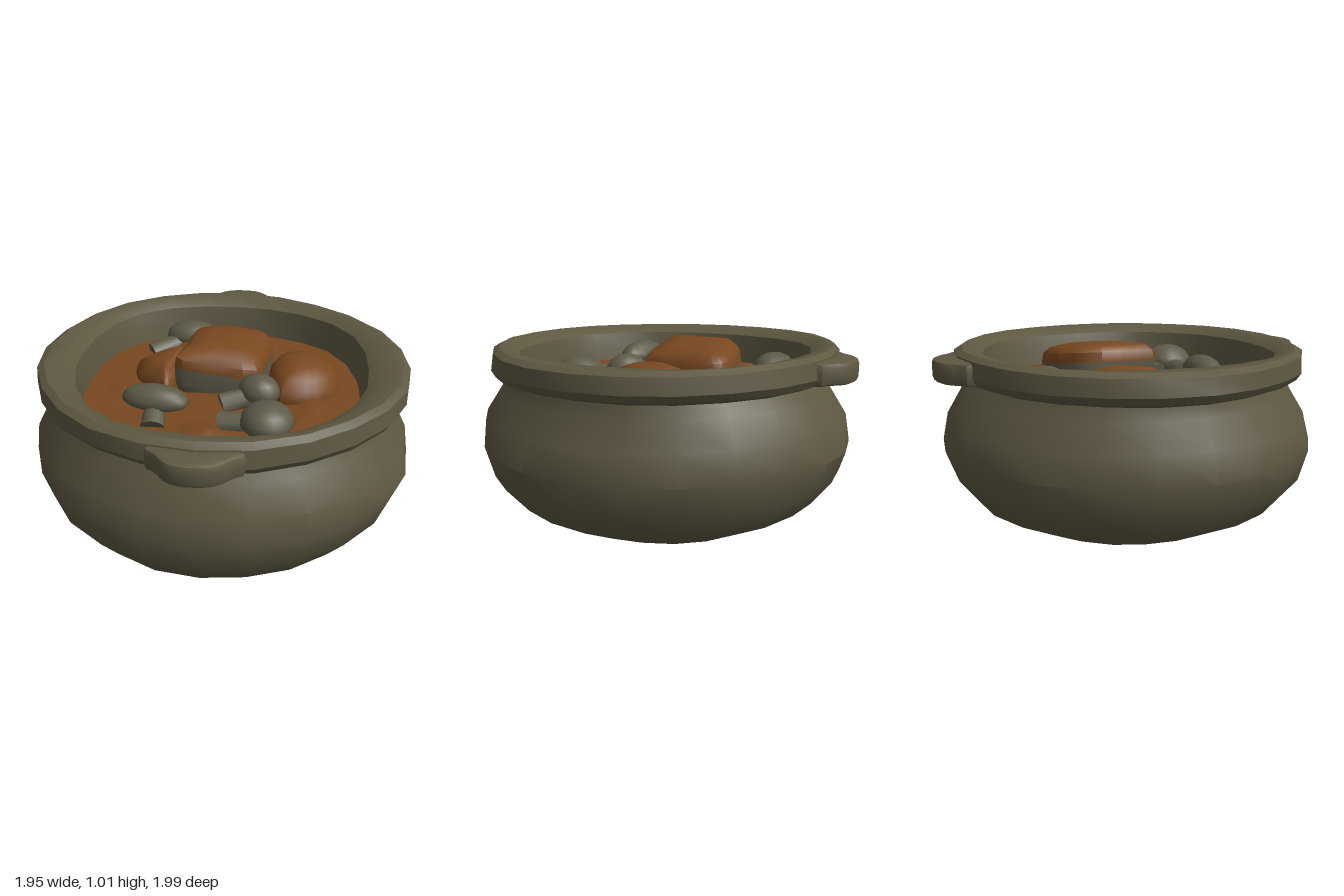
import * as THREE from 'three';
import { toCreasedNormals } from 'three/addons/utils/BufferGeometryUtils.js';

const mat = (name, color) => {
  const m = new THREE.MeshStandardMaterial({ color });
  m.name = name;
  return m;
};

export function createModel() {
  const model = new THREE.Group();
  model.name = 'stewPot';
  const clay = mat('clay', 0x5e5842);
  const stew = mat('stewBrown', 0x784820);
  const mushroom = mat('mushroomGrey', 0x5d5a47);

  const add = (name, geometry, material, parent = model) => {
    const mesh = new THREE.Mesh(geometry, material);
    mesh.name = name;
    parent.add(mesh);
    return mesh;
  };

  // Moves every vertex with a rule.
  const deform = (geometry, rule) => {
    const p = geometry.attributes.position;
    const v = new THREE.Vector3();
    for (let i = 0; i < p.count; i++) {
      rule(v.fromBufferAttribute(p, i));
      p.setXYZ(i, v.x, v.y, v.z);
    }
    return geometry;
  };

  const lathe = (points, segments) =>
    new THREE.LatheGeometry(points.map(([r, y]) => new THREE.Vector2(r, y)), segments);

  // Closed lump: one rounded outline (x, z), stacked as [scale, y] layers.
  // Layers below capStart take the first material, the others the second.
  const lump = (name, outline, layers, materials, capStart, tiltX = 0, tiltZ = 0) => {
    const n = 20;
    const ring = new THREE.CatmullRomCurve3(
      outline.map(([x, z]) => new THREE.Vector3(x, 0, z)), true, 'catmullrom', 0.35).getPoints(n).slice(0, n);
    const c = ring.reduce((s, p) => s.add(p), new THREE.Vector3()).divideScalar(n);
    const pos = [], index = [];
    layers.forEach(([s, y]) => ring.forEach((p) => {
      const dx = (p.x - c.x) * s, dz = (p.z - c.z) * s;
      pos.push(c.x + dx, y + dx * tiltX + dz * tiltZ, c.z + dz);
    }));
    for (let j = 0; j < layers.length - 1; j++) {
      for (let i = 0; i < n; i++) {
        const a = j * n + i, b = j * n + (i + 1) % n;
        index.push(a, b, b + n, a, b + n, a + n);
      }
    }
    const geometry = new THREE.BufferGeometry();
    geometry.setAttribute('position', new THREE.Float32BufferAttribute(pos, 3));
    geometry.setIndex(index);
    geometry.addGroup(0, capStart * n * 6, 0);
    geometry.addGroup(capStart * n * 6, (layers.length - 1 - capStart) * n * 6, 1);
    return add(name, toCreasedNormals(geometry, 0.7), materials);
  };

  // Hand-shaped bowl with a thick rolled rim and a slightly squared mouth
  const pot = deform(lathe([
    [0, 0], [0.4, 0.05], [0.6, 0.1], [0.83, 0.215], [0.93, 0.34], [0.975, 0.5], [0.95, 0.64],
    [0.875, 0.765], [0.865, 0.83], [0.92, 0.85], [0.945, 0.885], [0.935, 0.965], [0.9, 0.985],
    [0.79, 0.98], [0.735, 0.945], [0.715, 0.85], [0.7, 0.7],
  ], 24), (v) => {
    const a = Math.atan2(v.x, v.z), r = Math.hypot(v.x, v.z);
    const inner = r < 0.85 && v.y > 0.6;
    const square = inner ? 0.055 * Math.sin(2 * a) ** 2 : 0;
    const wobble = r > 0.1 ? 0.007 * Math.sin(3 * a + v.y * 9) + 0.005 * Math.sin(7 * a - v.y * 14) : 0;
    const depth = inner ? 1 : v.y > 0.8 ? 0.945 : 0.98;
    v.x *= 1 + square + wobble;
    v.z *= (1 + square + wobble) * depth;
    if (v.y > 0.95) v.y += 0.004 * Math.sin(2 * a + 1);
  });
  add('pot', toCreasedNormals(pot, 0.55), clay);

  // Lugs at the front and back of the rim
  const lugShape = new THREE.Shape();
  lugShape.moveTo(-0.21, 0.78);
  lugShape.lineTo(-0.19, 0.87);
  lugShape.bezierCurveTo(-0.12, 0.9, -0.13, 0.97, -0.03, 0.975);
  lugShape.bezierCurveTo(0.13, 0.985, 0.12, 0.9, 0.19, 0.87);
  lugShape.lineTo(0.21, 0.78);
  const lug = new THREE.ExtrudeGeometry(lugShape, {
    depth: 0.06, bevelEnabled: true, bevelThickness: 0.025, bevelSize: 0.022, bevelSegments: 2, curveSegments: 6,
  });
  lug.rotateX(Math.PI / 2).translate(0, 0.935, 0);
  const lugGeometry = toCreasedNormals(lug, 0.7);
  [['frontLug', 0], ['backLug', Math.PI]].forEach(([name, turn]) => {
    add(name, lugGeometry, clay).rotation.y = turn;
  });

  // Stew surface with soft ripples and small bumps: x, z, radius, height
  const bumps = [[0.09, -0.53, 0.08, 0.045], [-0.02, 0.49, 0.08, 0.06], [-0.5, 0.13, 0.07, 0.04],
    [0.46, 0.13, 0.08, 0.035], [-0.08, 0.43, 0.06, 0.04], [0.42, 0.3, 0.07, 0.025]];
  const surface = deform(new THREE.RingGeometry(0.001, 0.8, 48, 18).rotateX(-Math.PI / 2), (v) => {
    v.y = 0.785 + 0.006 * Math.sin(9 * v.x + 2) * Math.sin(8 * v.z);
    bumps.forEach(([x, z, r, h]) => {
      v.y += h * Math.exp(-((v.x - x) ** 2 + (v.z - z) ** 2) / (r * r * 0.5));
    });
  });
  surface.computeVertexNormals();
  add('stewSurface', surface, stew);

  // Large meat chunk with a glazed top and paler sides
  lump('meatChunk', [[-0.19, -0.3], [-0.21, -0.1], [-0.235, 0.07], [-0.02, 0.07], [0.18, 0.045],
    [0.215, -0.12], [0.235, -0.33], [0.18, -0.41], [-0.04, -0.4]],
  [[0.94, 0.74], [0.99, 0.8], [1, 0.895], [0.97, 0.945], [0.84, 0.975], [0.45, 0.995], [0, 1.0]],
  [mushroom, stew], 2, -0.13, -0.02);

  // Brown layers along the back of the chunk
  lump('meatLayer', [[-0.2, -0.38], [-0.17, -0.33], [0.1, -0.35], [0.2, -0.4], [0.1, -0.43], [-0.08, -0.42]],
    [[0, 0.83], [1, 0.84], [1, 0.87], [0, 0.885]], [stew, stew], 1);

  // Smaller meat pieces beside it
  lump('meatPiece', [[-0.49, -0.18], [-0.46, -0.04], [-0.36, 0.05], [-0.27, 0.12], [-0.23, -0.05],
    [-0.2, -0.28], [-0.3, -0.28]],
  [[1, 0.74], [1, 0.82], [0.9, 0.86], [0.5, 0.9], [0, 0.905]], [stew, stew], 1, 0.2, -0.06);
  lump('meatSliver', [[-0.3, -0.41], [-0.27, -0.22], [-0.2, -0.2], [-0.16, -0.41]],
    [[1, 0.74], [1, 0.83], [0.8, 0.86], [0, 0.87]], [stew, stew], 1, 0.2);

  // Potato lump
  lump('potato', [[0.23, -0.15], [0.25, 0.02], [0.32, 0.13], [0.48, 0.1], [0.59, -0.02], [0.6, -0.18],
    [0.53, -0.28], [0.4, -0.33], [0.28, -0.26]],
  [[0.96, 0.74], [1, 0.8], [0.93, 0.85], [0.75, 0.895], [0.4, 0.925], [0, 0.93]], [stew, stew], 1, -0.12);

  // Mushrooms: cap centre, cap radii, stem end, cap turn
  const capGeometry = toCreasedNormals(lathe([
    [0, 0.1], [0.6, -0.05], [0.88, -0.12], [1, 0.08], [0.95, 0.4], [0.75, 0.72], [0.4, 0.93], [0, 1],
  ], 18), 0.9);
  [
    { cap: [-0.24, 0.84, -0.51], size: [0.15, 0.09, 0.1], end: [-0.45, 0.785, -0.37], turn: 0 },
    { cap: [0.2, 0.84, 0.13], size: [0.11, 0.1, 0.095], end: [0.02, 0.8, 0.2], turn: -0.5 },
    { cap: [0.26, 0.81, 0.375], size: [0.13, 0.11, 0.135], end: [0.03, 0.79, 0.36], turn: 0 },
    { cap: [-0.29, 0.85, 0.3], size: [0.17, 0.09, 0.085], end: [-0.28, 0.78, 0.43], turn: -0.12 },
  ].forEach(({ cap, size, end, turn }) => {
    const group = new THREE.Group();
    group.name = 'mushroom';
    model.add(group);
    const top = add('mushroomCap', capGeometry, mushroom, group);
    top.position.set(...cap);
    top.scale.set(...size);
    top.rotation.y = turn;
    const from = new THREE.Vector3(...cap), to = new THREE.Vector3(...end);
    const path = new THREE.LineCurve3(from, to);
    const stem = add('mushroomStem',
      new THREE.CylinderGeometry(0.045, 0.06, path.getLength(), 10), mushroom, group);
    stem.position.copy(path.getPoint(0.5));
    stem.quaternion.setFromUnitVectors(new THREE.Vector3(0, 1, 0), from.sub(to).normalize());
  });

  return model;
}
